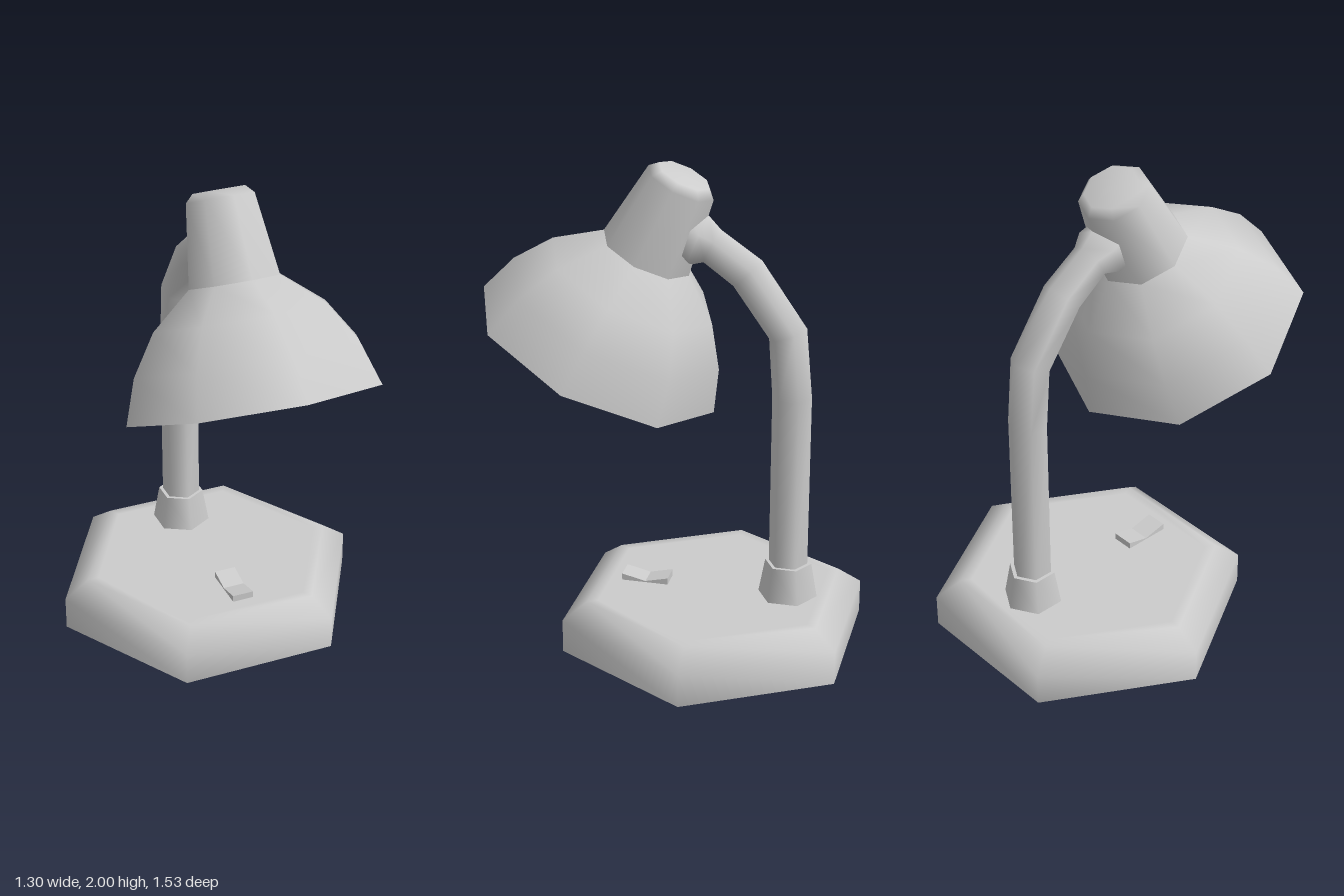
import * as THREE from 'three';

const material = new THREE.MeshStandardMaterial({ color: 0xcccccc, side: THREE.DoubleSide });

function addMesh(parent, name, geometry) {
  const mesh = new THREE.Mesh(geometry, material);
  mesh.name = name;
  parent.add(mesh);
  return mesh;
}

// Low-sided turned part from [radius, height] pairs
function turned(parent, name, profile, sides, phiStart = 0) {
  const points = profile.map(([r, y]) => new THREE.Vector2(r, y));
  return addMesh(parent, name, new THREE.LatheGeometry(points, sides, phiStart));
}

// Tube through [y, z, radius] stations in the plane x = 0
function bentTube(stations, sides) {
  const pos = [], index = [];
  const centers = stations.map(([y, z]) => new THREE.Vector3(0, y, z));
  stations.forEach(([y, z, r], i) => {
    const a = centers[Math.max(i - 1, 0)], b = centers[Math.min(i + 1, centers.length - 1)];
    const before = centers[i].clone().sub(a).normalize();
    const t = b.clone().sub(centers[i]).normalize().add(before).normalize();
    for (let j = 0; j < sides; j++) {
      const angle = (j / sides) * Math.PI * 2;
      const n = r * Math.cos(angle);
      pos.push(-r * Math.sin(angle), y + n * t.z, z - n * t.y);
      if (i === 0) continue;
      const k = (j + 1) % sides, lo = (i - 1) * sides, hi = i * sides;
      index.push(lo + j, lo + k, hi + k, lo + j, hi + k, hi + j);
    }
  });
  const geometry = new THREE.BufferGeometry();
  geometry.setAttribute('position', new THREE.Float32BufferAttribute(pos, 3));
  geometry.setIndex(index);
  geometry.computeVertexNormals();
  return geometry;
}

export function createModel() {
  const lamp = new THREE.Group();
  lamp.name = 'deskLamp';

  // Hollow hexagonal base, open underneath
  const base = turned(lamp, 'base',
    [[0.65, 0], [0.65, 0.14], [0.547, 0.212], [0.5, 0.212], [0, 0.212]], 6, Math.PI / 2);
  base.position.z = -0.2;

  // Rocker switch with a dipped top
  const rocker = new THREE.Shape([
    [0.185, 0.205], [0.185, 0.24], [0.085, 0.217], [-0.01, 0.24], [-0.01, 0.205],
  ].map(([z, y]) => new THREE.Vector2(-z, y)));
  const rockerGeometry = new THREE.ExtrudeGeometry(rocker, { depth: 0.09, bevelEnabled: false });
  rockerGeometry.translate(0, 0, -0.045).rotateY(Math.PI / 2);
  addMesh(lamp, 'switch', rockerGeometry);

  // Collar where the arm meets the base
  const collar = new THREE.Group();
  collar.name = 'collar';
  collar.position.z = -0.508;
  turned(collar, 'collarSide', [[0.124, 0.2], [0.096, 0.357]], 6);
  turned(collar, 'collarTop', [[0.096, 0.357], [0, 0.357]], 6);
  lamp.add(collar);

  // Bent arm, flaring into the joint behind the head
  addMesh(lamp, 'arm', bentTube([
    [0.2, -0.507, 0.08], [1.08, -0.507, 0.08], [1.345, -0.485, 0.08],
    [1.58, -0.32, 0.08], [1.68, -0.178, 0.077], [1.698, -0.125, 0.11], [1.74, -0.03, 0.1],
  ], 6));

  // Tilted head: origin at the middle of the rim, local y along its axis
  const head = new THREE.Group();
  head.name = 'head';
  head.position.set(0, 1.2125, 0.2875);
  head.rotation.x = -0.445;
  lamp.add(head);

  turned(head, 'shade', [[0.529, 0], [0.467, 0.175], [0.36, 0.332], [0.19, 0.466]], 8);
  turned(head, 'shadeRim', [[0.488, 0], [0.529, 0]], 8);
  turned(head, 'shadeLining',
    [[0, 0.425], [0.17, 0.425], [0.33, 0.302], [0.432, 0.16], [0.488, 0]], 8);
  turned(head, 'socketHousing',
    [[0.19, 0.466], [0.143, 0.79], [0.11, 0.822], [0, 0.822]], 8);

  // Bulb with a neck reaching into the socket
  turned(head, 'bulb', [
    [0, -0.04], [0.075, -0.025], [0.132, 0.035], [0.15, 0.11],
    [0.128, 0.19], [0.085, 0.26], [0.07, 0.43],
  ], 8);

  return lamp;
}
